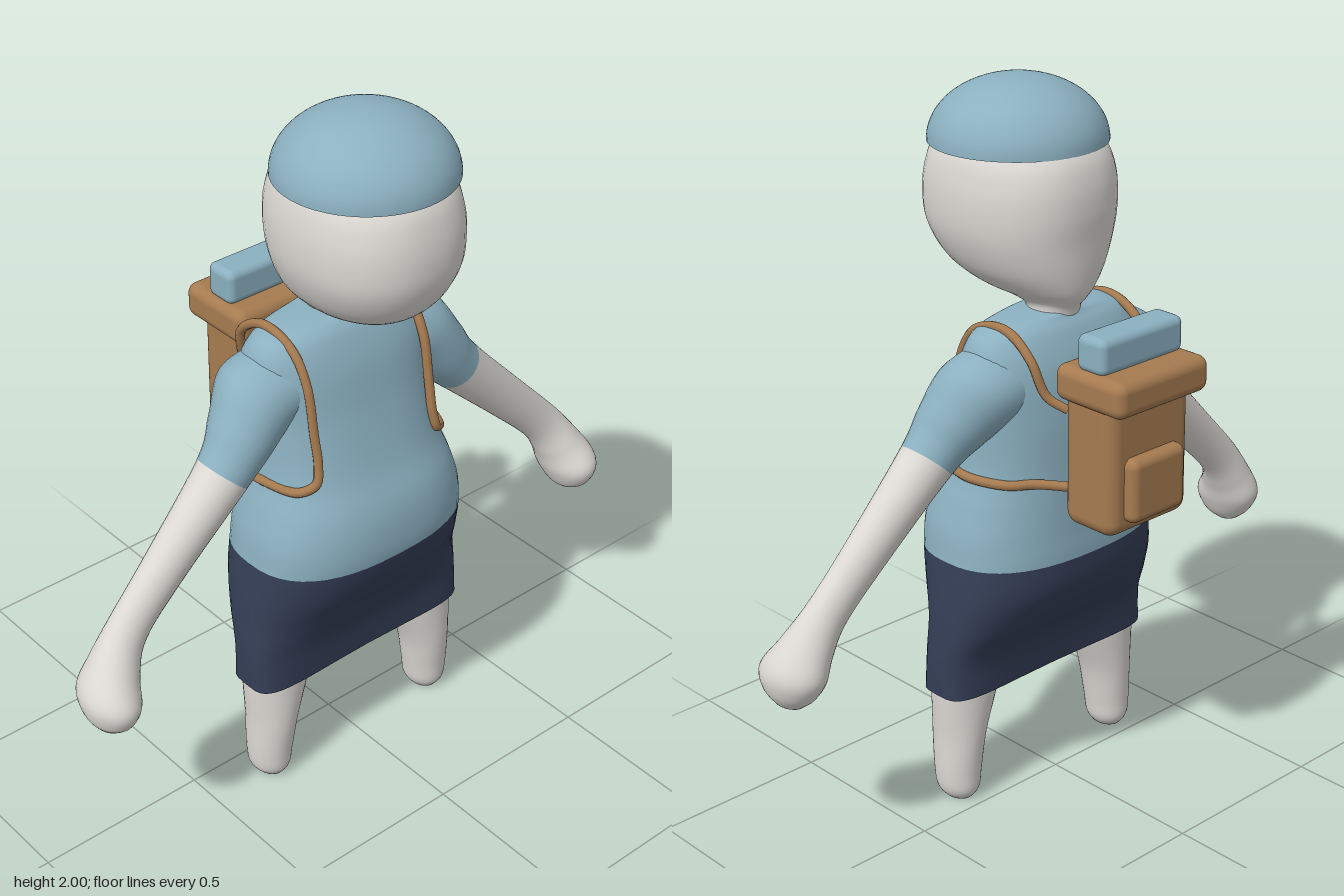
import * as THREE from 'three';
import { RoundedBoxGeometry } from 'three/addons/geometries/RoundedBoxGeometry.js';

const mat = (name, color, extra = {}) => {
  const m = new THREE.MeshStandardMaterial({ color, ...extra });
  m.name = name;
  return m;
};

// Smooth interpolation between rows of numbers; t counts rows.
function sampleRows(rows, t) {
  const i = Math.min(Math.floor(t), rows.length - 2), f = t - i;
  const at = (k) => rows[THREE.MathUtils.clamp(k, 0, rows.length - 1)];
  return rows[0].map((_, c) => {
    const [a, b, d, e] = [at(i - 1)[c], at(i)[c], at(i + 1)[c], at(i + 2)[c]];
    const m0 = (d - a) / 2, m1 = (e - b) / 2;
    return (2 * f ** 3 - 3 * f * f + 1) * b + (f ** 3 - 2 * f * f + f) * m0
      + (3 * f * f - 2 * f ** 3) * d + (f ** 3 - f * f) * m1;
  });
}

// Skin a closed surface over cross-sections; the second material starts at row `split`.
function loft(rows, place, { split = 0, capStart = true, capEnd = true, seg = 48, steps = 6 } = {}) {
  const pos = [], idx = [], rings = (rows.length - 1) * steps;
  let cut = 0;
  for (let i = 0; i <= rings; i++) {
    const row = sampleRows(rows, i / steps);
    for (let j = 0; j < seg; j++) pos.push(...place(row, (j / seg) * Math.PI * 2));
  }
  const cap = (ring, flip) => {
    const c = [0, 0, 0], id = pos.length / 3;
    for (let j = 0; j < seg; j++) for (let k = 0; k < 3; k++) c[k] += pos[(ring * seg + j) * 3 + k] / seg;
    pos.push(...c);
    for (let j = 0; j < seg; j++) {
      const a = ring * seg + j, b = ring * seg + (j + 1) % seg;
      idx.push(id, ...(flip ? [b, a] : [a, b]));
    }
  };
  if (capStart) cap(0, false);
  for (let i = 0; i < rings; i++) {
    if (i === split * steps) cut = idx.length;
    for (let j = 0; j < seg; j++) {
      const a = i * seg + j, b = i * seg + (j + 1) % seg;
      idx.push(a, a + seg, b, b, a + seg, b + seg);
    }
  }
  if (capEnd) cap(rings, true);
  const g = new THREE.BufferGeometry();
  g.setAttribute('position', new THREE.Float32BufferAttribute(pos, 3));
  g.setIndex(idx);
  g.computeVertexNormals();
  if (split) {
    g.addGroup(0, cut, 0);
    g.addGroup(cut, idx.length - cut, 1);
  }
  return g;
}

const power = (v, n) => Math.sign(v) * Math.abs(v) ** (2 / n);

// Row: height, half width, front z, back z, squareness, pinch at the middle
const bodyRing = ([y, w, zf, zb, n, pinch], a) => {
  const c = power(Math.cos(a), n), s = power(Math.sin(a), n);
  return [w * c, y, (zf + zb) / 2 + ((zf - zb) / 2) * s * (1 - pinch * (1 - c * c))];
};

export function createModel() {
  const model = new THREE.Group();
  const skin = mat('pale skin', 0xdcd9d4);
  const blue = mat('soft blue cloth', 0x8bb0c0);
  const navy = mat('navy cloth', 0x343e56, { side: THREE.DoubleSide });
  const brown = mat('brown leather', 0xa67b50);
  const add = (name, geometry, material, x = 0, y = 0, z = 0) => {
    const m = new THREE.Mesh(geometry, material);
    m.name = name;
    m.position.set(x, y, z);
    model.add(m);
    return m;
  };

  // Skirt and shirt share one surface
  const torso = [
    [0.34, 0.37, 0.19, -0.02, 4, 0.2],
    [0.45, 0.37, 0.192, -0.03, 3.4, 0.1],
    [0.55, 0.362, 0.222, -0.09, 2.8, 0],
    [0.65, 0.352, 0.275, -0.145, 2.5, 0],
    [0.74, 0.34, 0.3, -0.155, 2.5, 0],
    [0.82, 0.33, 0.3, -0.152, 2.5, 0],
    [0.9, 0.308, 0.283, -0.15, 2.5, 0],
    [1.0, 0.28, 0.24, -0.148, 2.5, 0],
    [1.15, 0.275, 0.195, -0.145, 2.5, 0],
    [1.28, 0.285, 0.163, -0.125, 2.5, 0],
    [1.36, 0.258, 0.13, -0.09, 2.4, 0],
    [1.393, 0.19, 0.105, -0.065, 2.2, 0],
    [1.405, 0.08, 0.09, -0.06, 2, 0],
  ];
  add('skirtAndShirt', loft(torso, bodyRing, { split: 4, capStart: false }), [navy, blue]);

  // Body closing the inside of the skirt
  add('hips', loft([
    [0.355, 0.362, 0.183, -0.013, 4, 0.2],
    [0.45, 0.36, 0.183, -0.02, 3.4, 0.1],
  ], bodyRing, { steps: 2 }), skin);

  // Head with neck
  add('head', loft([
    [1.36, 0.075, 0.09, -0.06, 2, 0],
    [1.41, 0.068, 0.09, -0.07, 2, 0],
    [1.435, 0.085, 0.17, -0.09, 2, 0],
    [1.465, 0.13, 0.28, -0.105, 2.1, 0],
    [1.52, 0.18, 0.352, -0.115, 2.2, 0],
    [1.6, 0.215, 0.393, -0.122, 2.3, 0],
    [1.68, 0.226, 0.403, -0.13, 2.3, 0],
    [1.76, 0.221, 0.393, -0.125, 2.3, 0],
    [1.83, 0.2, 0.365, -0.1, 2.2, 0],
    [1.9, 0.14, 0.29, -0.03, 2, 0],
  ], bodyRing), skin);

  // Domed cap with flat underside
  const dome = [];
  for (let i = 0; i <= 20; i++) {
    const a = (i / 20) * Math.PI / 2;
    dome.push(new THREE.Vector2(i === 20 ? 0 : 0.24 * Math.cos(a), 1.83 + 0.17 * Math.sin(a)));
  }
  add('capDome', new THREE.LatheGeometry(dome, 56), blue, 0, 0, 0.14);
  add('capUnderside', new THREE.CircleGeometry(0.24, 56).rotateX(Math.PI / 2), blue, 0, 1.83, 0.14);

  for (const s of [1, -1]) {
    const side = s > 0 ? 'left' : 'right';

    // Arm row: x, y, z, radius, z radius, tilt
    const arm = [
      [0.14, 1.25, 0.02, 0.125, 0.115, 0.9],
      [0.26, 1.22, 0.02, 0.116, 0.12, 0.85],
      [0.34, 1.14, 0.045, 0.094, 0.097, 0.8],
      [0.41, 1.06, 0.06, 0.076, 0.075, 0.75],
      [0.61, 0.865, 0.068, 0.064, 0.055, 0.75],
      [0.74, 0.735, 0.075, 0.06, 0.052, 0.72],
      [0.8, 0.65, 0.09, 0.068, 0.075, 0.5],
      [0.835, 0.58, 0.108, 0.077, 0.103, 0.3],
      [0.846, 0.525, 0.115, 0.062, 0.08, 0.25],
      [0.848, 0.49, 0.115, 0.032, 0.04, 0.2],
    ];
    const armRing = ([x, y, z, r, rz, tilt], a) => {
      const c = r * Math.cos(a);
      return [s * (x + c * Math.cos(tilt)), y + c * Math.sin(tilt), z - s * rz * Math.sin(a)];
    };
    add(side + 'SleeveAndArm', loft(arm, armRing, { split: 3, seg: 32 }), [blue, skin]);

    // Leg row: y, centre x, x radius, centre z, z radius
    add(side + 'Leg', loft([
      [0, 0.295, 0.036, 0.088, 0.045],
      [0.03, 0.296, 0.056, 0.088, 0.064],
      [0.09, 0.295, 0.064, 0.089, 0.07],
      [0.2, 0.286, 0.073, 0.09, 0.079],
      [0.34, 0.266, 0.1, 0.087, 0.083],
      [0.42, 0.26, 0.1, 0.087, 0.08],
    ], ([y, x, rx, z, rz], a) => [s * x + rx * Math.cos(a), y, z + rz * Math.sin(a)], { seg: 32 }), skin);

    // Shoulder strap running round under the arm to the pack
    const path = [
      [0.14, 1.2, -0.19], [0.175, 1.235, -0.148], [0.2, 1.33, -0.115], [0.2, 1.382, -0.045],
      [0.2, 1.388, 0.03], [0.2, 1.355, 0.105], [0.2, 1.28, 0.152], [0.2, 1.15, 0.178],
      [0.2, 1.06, 0.195], [0.212, 1.008, 0.2], [0.25, 0.985, 0.172], [0.281, 0.985, 0.09],
      [0.287, 0.985, 0.02], [0.25, 0.985, -0.08], [0.19, 0.985, -0.125], [0.13, 0.98, -0.19],
    ].map(([x, y, z]) => new THREE.Vector3(s * x, y, z));
    add(side + 'Strap', new THREE.TubeGeometry(new THREE.CatmullRomCurve3(path), 120, 0.013, 8), brown);
  }

  // Backpack: rounded boxes
  const box = (name, w, h, d, r, m, y, z) =>
    add(name, new RoundedBoxGeometry(w, h, d, 4, r), m, 0, y, z);
  box('packBody', 0.3, 0.4, 0.18, 0.04, brown, 1.08, -0.267);
  box('packLid', 0.336, 0.1, 0.245, 0.03, brown, 1.28, -0.283);
  box('packPocket', 0.2, 0.18, 0.07, 0.025, brown, 1.01, -0.357);
  box('bedroll', 0.3, 0.1, 0.1, 0.022, blue, 1.373, -0.275);
  return model;
}
